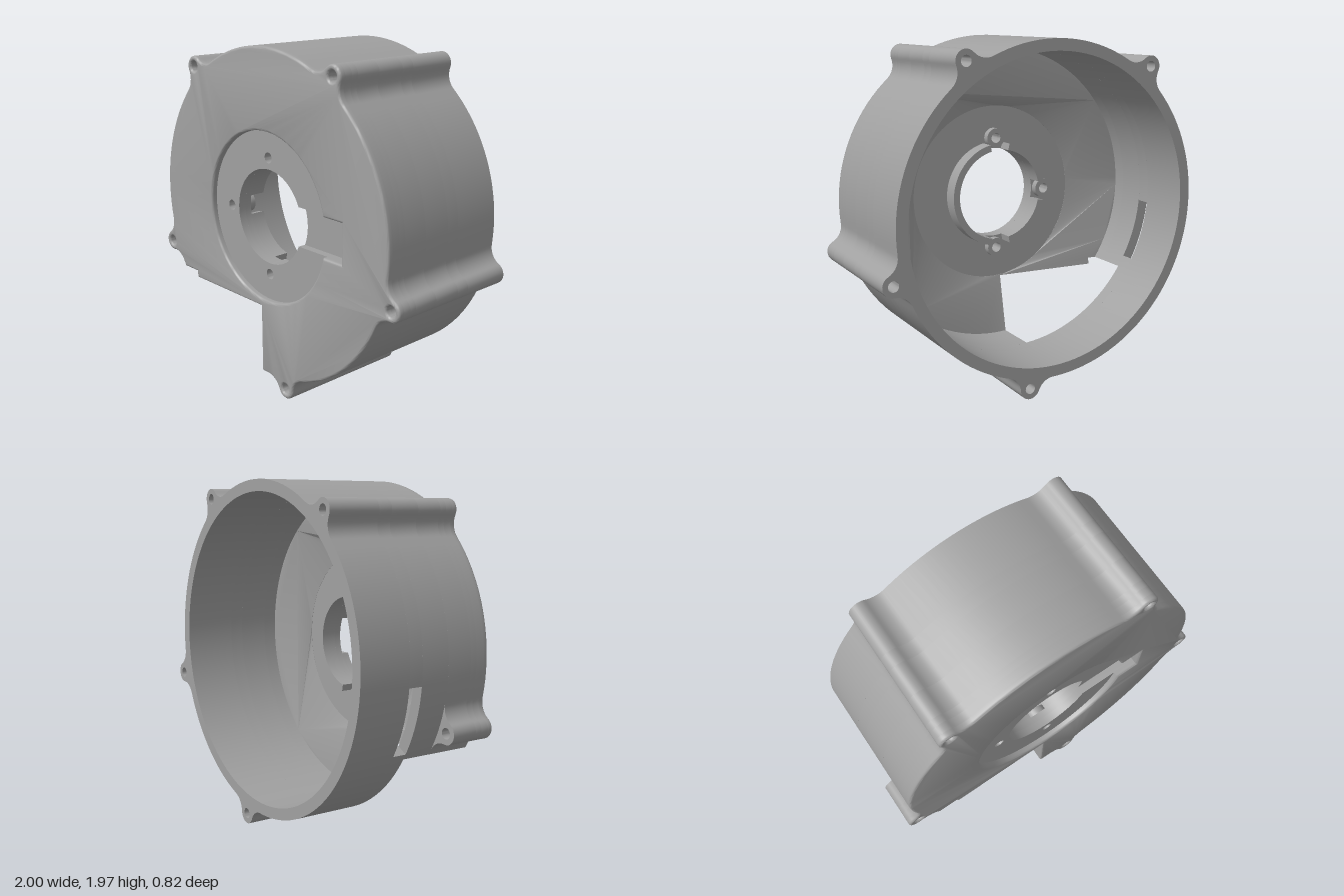
import * as THREE from 'three';
import { toCreasedNormals } from 'three/addons/utils/BufferGeometryUtils.js';

const RAD = Math.PI / 180;
const R = 0.935, RI = 0.87;                      // wall radii
const D = 0.99, RB = 0.06, F = 0.1, HOLE = 0.03; // screw lugs: distance, radius, fillet, hole
const BORE = 0.27, RECESS = 0.485;
const LUGS = [-80.7, -15.2, 57.2, 128.8];
const SIDE_LUG = 200.8;                          // short lug, front part only
const START = -92.8, CUT = 211.6, FULL = 267.2;  // angles bounding the outlet

const V = (x, y) => new THREE.Vector2(x, y);

function arc(cx, cy, r, a0, a1, n) {
  return Array.from({ length: n + 1 }, (_, i) => {
    const a = a0 + (a1 - a0) * i / n;
    return V(cx + r * Math.cos(a), cy + r * Math.sin(a));
  });
}
const wallArc = (r, a0, a1) =>
  arc(0, 0, r, a0 * RAD, a1 * RAD, Math.max(2, Math.ceil(Math.abs(a1 - a0) / 3)));
const circle = (x, y, r, n = 24) => new THREE.Path(arc(x, y, r, 0, Math.PI * 2, n).slice(0, -1));

// Half-angle covered by a lug with its fillets, and the lug outline at angle 0
const DELTA = Math.acos(((R + F) ** 2 + D * D - (RB + F) ** 2) / (2 * (R + F) * D));
function lugOutline(deg) {
  const fx = (R + F) * Math.cos(DELTA), fy = -(R + F) * Math.sin(DELTA);
  const a = Math.atan2(-fy, D - fx);
  const half = [...arc(fx, fy, F, Math.PI - DELTA, a, 7), ...arc(D, 0, RB, a - Math.PI, 0, 7).slice(1)];
  const mirrored = half.slice(0, -1).reverse().map(p => V(p.x, -p.y));
  return [...half, ...mirrored].map(p => p.rotateAround(V(0, 0), deg * RAD));
}

// Outer wall line between two angles, including lugs
function outline(from, to, lugs) {
  const pts = [];
  let cur = from;
  const d = DELTA / RAD;
  for (const l of lugs) {
    pts.push(...wallArc(R, cur, l - d).slice(0, -1), ...lugOutline(l).slice(0, -1));
    cur = l + d;
  }
  return pts.concat(wallArc(R, cur, to));
}

function withLugHoles(shape, lugs) {
  for (const l of lugs) shape.holes.push(circle(D * Math.cos(l * RAD), D * Math.sin(l * RAD), HOLE));
  return shape;
}

// Wall segment closed by its inner arc
function segment(from, to, lugs, innerFrom = from, innerTo = to) {
  const shape = new THREE.Shape([...outline(from, to, lugs), ...wallArc(RI, innerTo, innerFrom)]);
  return withLugHoles(shape, lugs);
}

// Round opening with the cable channel on the left
function keyhole(r) {
  const a = Math.asin(0.11 / r);
  return new THREE.Path([...arc(0, 0, r, a, Math.PI * 2 - a, 72), V(0.61, -0.11), V(0.61, 0.11)]);
}

const outletCorner = () => [V(-0.67, -0.49), V(-0.67, -0.53), V(-0.045, -0.53)];

export function createModel() {
  const model = new THREE.Group();
  model.name = 'blowerHousing';
  const grey = new THREE.MeshStandardMaterial({ color: 0xa0a0a0 });
  grey.name = 'housing grey';

  function add(name, shape, z0, z1, { bevel = 0, warp } = {}) {
    let geo = new THREE.ExtrudeGeometry(shape, {
      depth: z1 - z0 - bevel, curveSegments: 24, bevelEnabled: bevel > 0,
      bevelThickness: bevel, bevelSize: bevel, bevelOffset: 0, bevelSegments: 3,
      ...(bevel > 0 && { bevelOffset: -bevel }),
    });
    const p = geo.attributes.position;
    for (let i = 0; i < p.count; i++) {
      let z = Math.max(0, p.getZ(i)); // only the front edge is rounded
      if (warp) z = warp(Math.hypot(p.getX(i), p.getY(i)), z);
      p.setZ(i, z);
    }
    geo.translate(-0.02, 1.04, z0);
    geo.computeVertexNormals();
    geo = toCreasedNormals(geo, 0.6);
    const mesh = new THREE.Mesh(geo, grey);
    mesh.name = name;
    model.add(mesh);
  }

  // Side wall, from the open back to the front
  const ring = withLugHoles(new THREE.Shape(outline(START, FULL, LUGS).slice(0, -1)), LUGS);
  ring.holes.push(circle(0, 0, RI, 120));
  add('rearWall', ring, -0.41, -0.11);
  add('slottedWall', segment(START, 185.5, LUGS), -0.11, -0.03);
  add('outletBridge', segment(209.5, FULL, []), -0.11, -0.03);
  add('middleWall', segment(START, CUT, LUGS, -93, 214.3), -0.03, 0.14);
  const allLugs = [...LUGS, SIDE_LUG];
  add('frontWall', segment(START, CUT, allLugs, -93, 214.3), 0.14, 0.29);

  // Sloping inner floor
  const cone = new THREE.Shape([...wallArc(0.872, -93, 214.3), ...outletCorner()]);
  cone.holes.push(circle(0, 0, 0.525, 100));
  add('slopingFloor', cone, 0.22, 0.29, {
    warp: (r, z) => z > 0.03 ? z : 0.069 * THREE.MathUtils.clamp((RI - r) / (RI - 0.525), 0, 1),
  });

  // Front plate in three layers: hub floor, channel layer, recessed face
  const screws = [V(0, 0.335), V(0, -0.335), V(-0.335, 0)];
  const plate = (opening, drilled) => {
    const shape = new THREE.Shape([...outline(START, CUT, allLugs), ...outletCorner()]);
    shape.holes.push(opening);
    if (drilled) for (const s of screws) shape.holes.push(circle(s.x, s.y, HOLE));
    return withLugHoles(shape, allLugs);
  };
  add('hubFloor', plate(circle(0, 0, BORE, 80), true), 0.29, 0.33);
  add('channelLayer', plate(keyhole(BORE), true), 0.33, 0.375);
  add('frontFace', plate(keyhole(RECESS), false), 0.375, 0.41, { bevel: 0.014 });

  // Collar behind the bore, interrupted at the screws
  for (const [a, b] of [[-78, 78], [102, 168], [192, 258]]) {
    add('boreCollar', new THREE.Shape([...wallArc(0.31, a, b), ...wallArc(BORE, b, a)]), 0.2, 0.29);
  }
  for (const s of screws) {
    const boss = new THREE.Shape(circle(s.x, s.y, 0.058).getPoints());
    boss.holes.push(circle(s.x, s.y, HOLE));
    add('screwBoss', boss, 0.25, 0.29);
  }
  return model;
}
